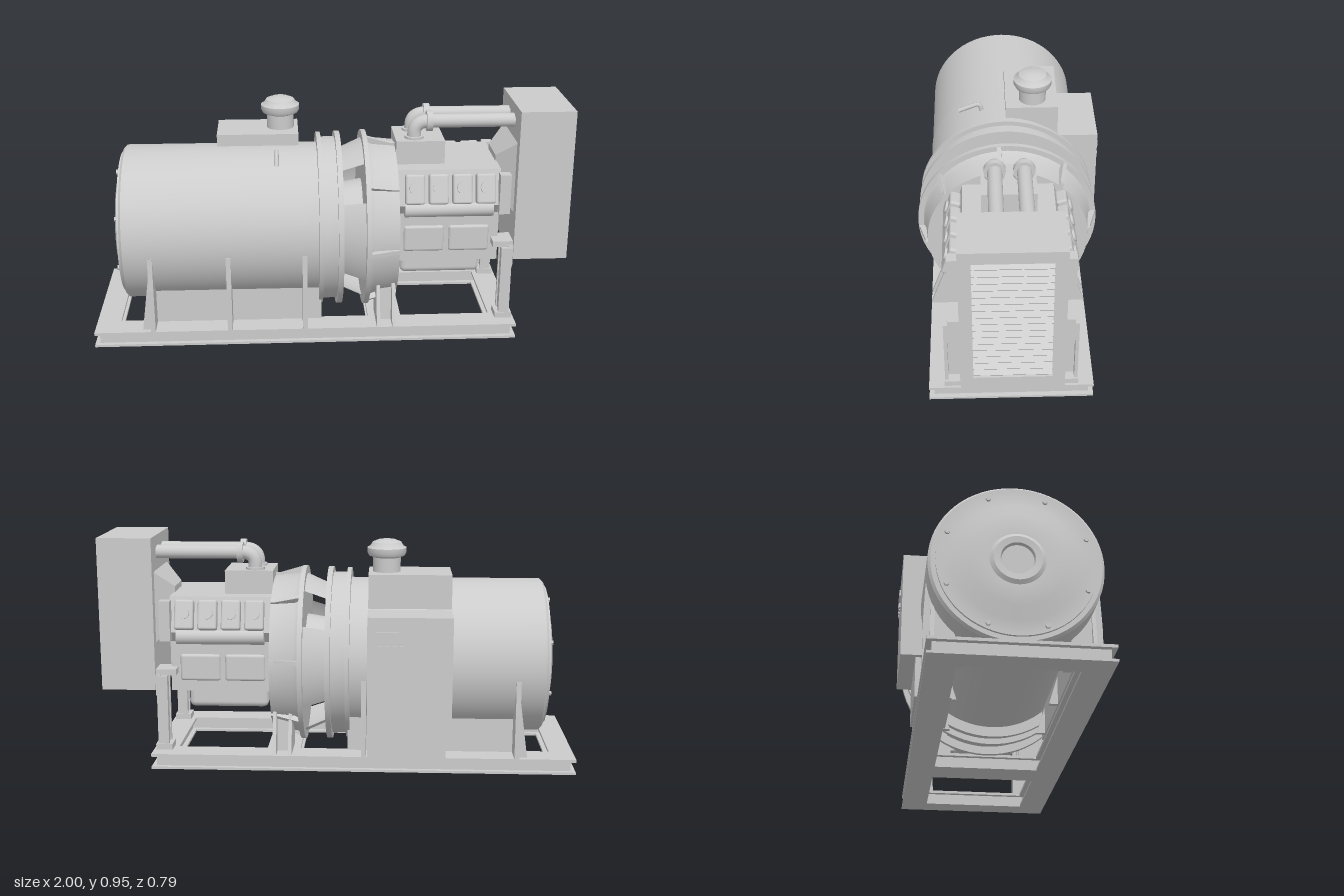
import * as THREE from 'three';
import { toCreasedNormals } from 'three/addons/utils/BufferGeometryUtils.js';
import { RoundedBoxGeometry } from 'three/addons/geometries/RoundedBoxGeometry.js';

const AXIS = 0.437; // height of the shaft line
const mat = new THREE.MeshStandardMaterial({ color: 0xcccccc });
const thin = new THREE.MeshStandardMaterial({ color: 0xcccccc, side: THREE.DoubleSide });

export function createModel() {
  const model = new THREE.Group();
  model.position.z = 0.0125;

  const add = (name, geo, material = mat, parent = model) => {
    const mesh = new THREE.Mesh(geo, material);
    mesh.name = name;
    parent.add(mesh);
    return mesh;
  };
  // box given by its limits
  const box = (name, x0, x1, y0, y1, z0, z1) =>
    add(name, new THREE.BoxGeometry(x1 - x0, y1 - y0, z1 - z0)
      .translate((x0 + x1) / 2, (y0 + y1) / 2, (z0 + z1) / 2));
  // body of revolution about the shaft line, profile as [x, radius]
  const turned = (name, profile, y = AXIS, z = 0, seg = 64) =>
    add(name, toCreasedNormals(new THREE.LatheGeometry(
      profile.map(([x, r]) => new THREE.Vector2(r, x)), seg), 0.5)
      .rotateZ(-Math.PI / 2).translate(0, y, z));
  // vertical body of revolution, profile as [y, radius]
  const upright = (name, profile, x, z) =>
    add(name, toCreasedNormals(new THREE.LatheGeometry(
      profile.map(([y, r]) => new THREE.Vector2(r, y)), 32), 0.6).translate(x, 0, z));
  // cross-section [z, y] extruded along x
  const prismX = (name, pts, x0, x1, hole) => {
    const shape = new THREE.Shape(pts.map(([z, y]) => new THREE.Vector2(-z, y)));
    if (hole) shape.holes.push(new THREE.Path(hole.map(([z, y]) => new THREE.Vector2(-z, y))));
    return add(name, new THREE.ExtrudeGeometry(shape, { depth: x1 - x0, bevelEnabled: false })
      .rotateY(Math.PI / 2).translate(x0, 0, 0));
  };
  const rect = (a0, a1, b0, b1) => [[a0, b0], [a1, b0], [a1, b1], [a0, b1]];

  // Skid: channel-section frame with two openings
  const frame = (name, inset, y0, y1) => {
    const path = (C, x0, x1, w) => new C(rect(x0, x1, -w, w).map(p => new THREE.Vector2(...p)));
    const shape = path(THREE.Shape, -1 + inset, 0.77 - inset, 0.3325 - inset);
    shape.holes.push(path(THREE.Path, -0.9 - inset, 0.15 + inset, 0.22 + inset));
    shape.holes.push(path(THREE.Path, 0.29 - inset, 0.67 + inset, 0.22 + inset));
    add(name, new THREE.ExtrudeGeometry(shape, { depth: y1 - y0, bevelEnabled: false })
      .rotateX(-Math.PI / 2).translate(0, y0, 0));
  };
  frame('skidBottomFlange', 0, 0, 0.01);
  frame('skidWeb', 0.02, 0.01, 0.053);
  frame('skidTopFlange', 0, 0.053, 0.065);

  // Generator drum with end cap
  turned('generatorDrum', [[-0.875, 0], [-0.875, 0.318], [-0.865, 0.328], [-0.05, 0.328], [-0.05, 0]]);
  turned('endCap', [[-0.9, 0], [-0.9, 0.06], [-0.912, 0.065], [-0.915, 0.09], [-0.905, 0.105],
    [-0.905, 0.19], [-0.885, 0.24], [-0.885, 0.3], [-0.87, 0.3], [-0.87, 0]]);
  for (let i = 0; i < 8; i++) {
    const a = (i + 0.5) * Math.PI / 4;
    turned('endCapBolt', [[-0.895, 0], [-0.895, 0.01], [-0.87, 0.01]],
      AXIS + 0.28 * Math.sin(a), 0.28 * Math.cos(a), 6);
  }

  // Curved access door and its handle
  add('accessDoor', new THREE.CylinderGeometry(0.333, 0.333, 0.25, 24, 1, true, -1.22, 1.0)
    .rotateZ(-Math.PI / 2).translate(-0.225, AXIS, 0), thin);
  add('doorHandle', new THREE.TubeGeometry(new THREE.CatmullRomCurve3([
    new THREE.Vector3(-0.23, 0.74, 0.1), new THREE.Vector3(-0.23, 0.775, 0.11),
    new THREE.Vector3(-0.23, 0.765, 0.15), new THREE.Vector3(-0.23, 0.745, 0.2)]), 16, 0.01, 8), thin);

  // Coupling flanges between generator and engine
  turned('generatorFlange', [[-0.06, 0], [-0.06, 0.37], [-0.042, 0.37], [-0.042, 0.35], [0.018, 0.35],
    [0.018, 0.374], [0.04, 0.374], [0.04, 0]]);
  turned('couplingCore', [[0.03, 0], [0.03, 0.15], [0.15, 0.17], [0.15, 0]]);
  for (let i = 0; i < 4; i++) {
    add('bellHousingPanel', new THREE.CylinderGeometry(0.345, 0.3, 0.1, 16, 1, true,
      i * Math.PI / 2 - Math.PI / 6, Math.PI / 3)
      .rotateZ(-Math.PI / 2).translate(0.085, AXIS, 0), thin);
  }
  turned('flywheelHousing', [[0.132, 0], [0.132, 0.378], [0.152, 0.378], [0.152, 0.355], [0.17, 0.345],
    [0.27, 0.335], [0.27, 0]]);
  for (let i = 0; i < 8; i++) {
    const gusset = new THREE.Shape([[0.15, 0.32], [0.27, 0.32], [0.27, 0.347], [0.25, 0.347], [0.15, 0.376]]
      .map(p => new THREE.Vector2(...p)));
    add('housingGusset', new THREE.ExtrudeGeometry(gusset, { depth: 0.018, bevelEnabled: false })
      .translate(0, 0, -0.009).rotateX((5 + 45 * i) * Math.PI / 180).translate(0, AXIS, 0));
  }

  // Cradle, coupling feet and radiator posts, mirrored front and back
  for (const s of [1, -1]) {
    for (const x of [-0.765, -0.445, -0.13])
      prismX('cradleRib', [[s * 0.333, 0.065], [s * 0.333, 0.25], [s * 0.327, 0.39], [s * 0.28, 0.39],
        [s * 0.18, 0.065]], x, x + 0.02);
    const za = Math.min(s * 0.235, s * 0.215), zb = za + 0.02;
    box('cradlePlate', -0.76, -0.05, 0.065, 0.225, za, zb);
    const brace = new THREE.Shape([[-0.8, 0.065], [-0.755, 0.065], [-0.755, 0.39]].map(p => new THREE.Vector2(...p)));
    add('cradleEndBrace', new THREE.ExtrudeGeometry(brace, { depth: 0.015, bevelEnabled: false })
      .translate(0, 0, s * 0.3 - 0.0075));

    for (const x of [0.18, 0.245])
      prismX('couplingFootWeb', [[s * 0.333, 0.065], [s * 0.268, 0.25], [s * 0.15, 0.2], [s * 0.15, 0.065]], x, x + 0.015);
    prismX('couplingFootPlate', [[s * 0.26, 0.065], [s * 0.25, 0.24], [s * 0.23, 0.24], [s * 0.235, 0.065]], 0.18, 0.26);

    const span = (name, x0, x1, y0, y1, a, b) =>
      box(name, x0, x1, y0, y1, Math.min(s * a, s * b), Math.max(s * a, s * b));
    span('postFoot', 0.69, 0.76, 0.065, 0.09, 0.19, 0.27);
    span('postWeb', 0.71, 0.72, 0.09, 0.385, 0.205, 0.255);
    span('postOuterFlange', 0.705, 0.75, 0.09, 0.385, 0.253, 0.267);
    span('postInnerFlange', 0.705, 0.75, 0.09, 0.385, 0.193, 0.207);
    span('postBracket', 0.67, 0.755, 0.385, 0.41, 0.15, 0.25);
    span('postBracketPlate', 0.735, 0.755, 0.3, 0.39, 0.2, 0.26);
  }

  // Control cabinet, its pedestal and the air intake on top
  box('controlCabinet', -0.48, -0.135, 0.23, 0.67, -0.4025, -0.2);
  box('cabinetPedestal', -0.46, -0.135, 0.065, 0.23, -0.343, -0.2);
  box('intakeBox', -0.48, -0.135, 0.6, 0.815, -0.2275, -0.0025);
  box('cabinetDisplay', -0.29, -0.17, 0.585, 0.61, -0.409, -0.4);
  for (let i = 0; i < 4; i++)
    box('cabinetButton', -0.285 + i * 0.03, -0.267 + i * 0.03, 0.535, 0.553, -0.409, -0.4);
  upright('intakeStack', [[0.81, 0], [0.81, 0.058], [0.875, 0.058], [0.882, 0.075], [0.895, 0.082], [0.915, 0.082],
    [0.922, 0.07], [0.938, 0.06], [0.948, 0.035], [0.951, 0]], -0.21, -0.12);

  // Engine block, sump and top box
  prismX('engineBlock', [[-0.19, 0.305], [0.19, 0.305], [0.19, 0.52], [0.225, 0.565], [0.185, 0.71],
    [-0.185, 0.71], [-0.225, 0.565], [-0.19, 0.52]], 0.26, 0.7);
  add('sump', new RoundedBoxGeometry(0.345, 0.14, 0.2, 3, 0.025).translate(0.47, 0.277, 0));
  box('manifoldBox', 0.27, 0.475, 0.7, 0.81, -0.11, 0.11);
  for (const s of [1, -1]) {
    for (const x of [0.385, 0.575])
      add('sideCover', new RoundedBoxGeometry(0.17, 0.115, 0.025, 3, 0.012).translate(x, 0.407, s * 0.187));
    turned('exhaustManifold', [[0.3, 0], [0.3, 0.034], [0.67, 0.034], [0.67, 0]], 0.545, s * 0.205, 20);
    for (let i = 0; i < 4; i++) {
      const cover = new THREE.Group();
      cover.name = 'valveCover';
      cover.position.set(0.338 + i * 0.098, 0.64, s * 0.228);
      cover.rotation.x = -s * 0.3;
      add('valveCoverBody', new RoundedBoxGeometry(0.08, 0.125, 0.045, 3, 0.01), mat, cover);
      add('valveCoverCap', new THREE.CylinderGeometry(0.025, 0.025, 0.012, 20)
        .rotateX(Math.PI / 2).translate(0, 0.005, s * 0.025), mat, cover);
      model.add(cover);
    }
    box('frontBracket', 0.69, 0.735, 0.53, 0.7, s * 0.225 - 0.025, s * 0.225 + 0.02);
  }

  // Twin coolant pipes to the radiator
  for (const z of [-0.06, 0.055]) {
    const run = new THREE.CurvePath();
    const v = (x, y) => new THREE.Vector3(x, y, z);
    run.add(new THREE.LineCurve3(v(0.35, 0.8), v(0.35, 0.83)));
    run.add(new THREE.QuadraticBezierCurve3(v(0.35, 0.83), v(0.35, 0.882), v(0.41, 0.882)));
    run.add(new THREE.LineCurve3(v(0.41, 0.882), v(0.78, 0.882)));
    add('coolantPipe', new THREE.TubeGeometry(run, 60, 0.029, 20));
    turned('pipeCollar', [[0.4, 0], [0.4, 0.043], [0.425, 0.043], [0.425, 0]], 0.882, z, 24);
    upright('pipeFoot', [[0.805, 0.04], [0.82, 0.04], [0.82, 0]], 0.35, z);
  }

  // Radiator housing, fan shroud and louvres
  const zc = 0.0025;
  prismX('radiatorHousing', rect(zc - 0.195, zc + 0.195, 0.305, 0.955), 0.77, 1,
    rect(zc - 0.147, zc + 0.147, 0.355, 0.905));
  box('radiatorCore', 0.772, 0.955, 0.34, 0.92, zc - 0.16, zc + 0.16);
  const half = Math.SQRT2;
  add('fanShroud', new THREE.CylinderGeometry(0.155 * half, 0.08 * half, 0.08, 4, 1, false, Math.PI / 4)
    .toNonIndexed().rotateZ(-Math.PI / 2).translate(0.735, 0.655, 0)).geometry.computeVertexNormals();
  for (let i = 0; i < 17; i++)
    add('louvre', new THREE.BoxGeometry(0.045, 0.006, 0.294).rotateZ(-0.6)
      .translate(0.975, 0.372 + i * 0.0322, zc));

  return model;
}
